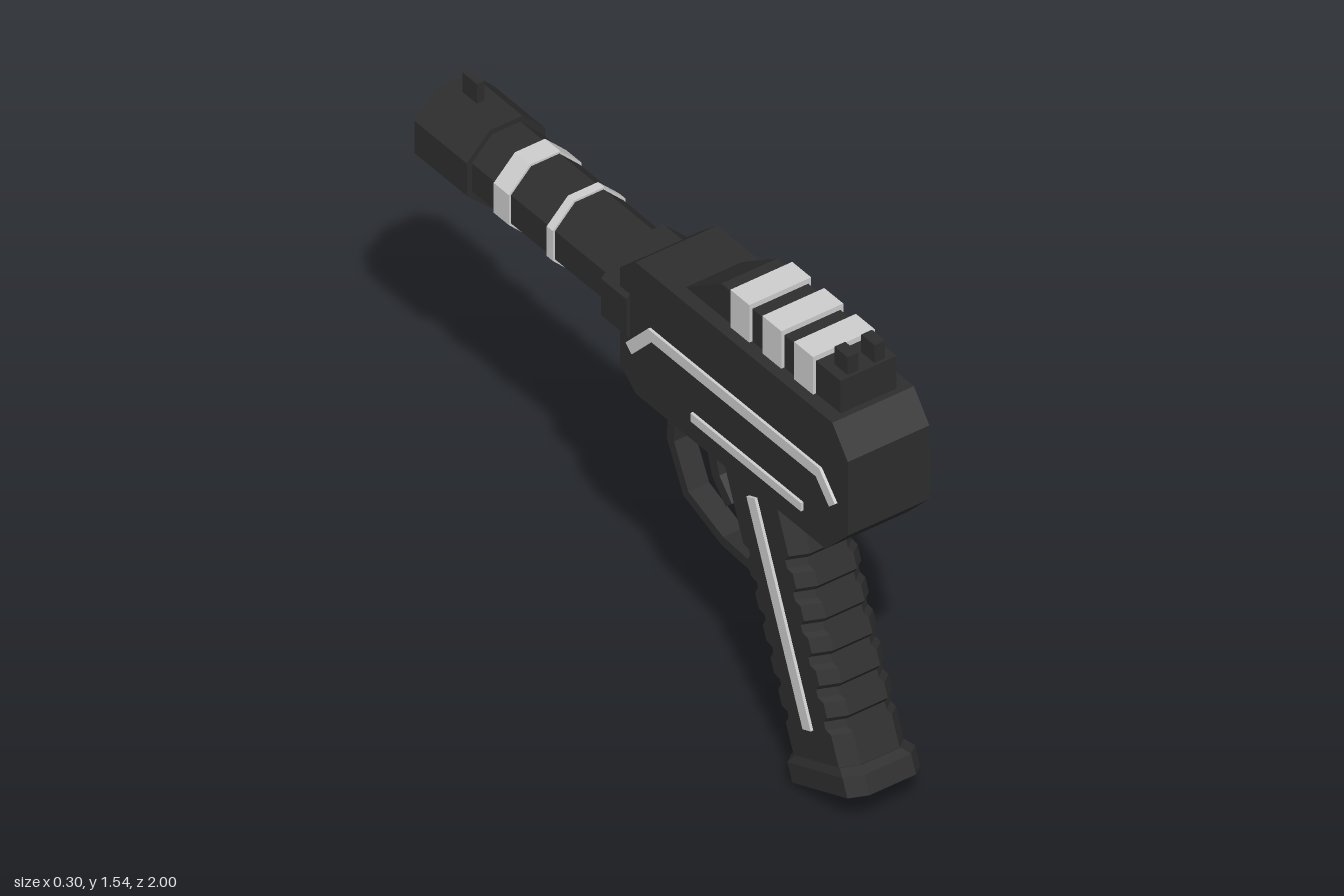
import * as THREE from 'three';

export function createModel() {
  const model = new THREE.Group();
  model.name = 'toyBlaster';
  const dark = new THREE.MeshStandardMaterial({ color: 0x2e2e2e });
  dark.name = 'charcoal';
  const light = new THREE.MeshStandardMaterial({ color: 0xcecece });
  light.name = 'lightGrey';

  // Adds a mesh with hard, faceted normals
  function add(name, geometry, material, parent = model) {
    const flat = geometry.index ? geometry.toNonIndexed() : geometry;
    flat.computeVertexNormals();
    const mesh = new THREE.Mesh(flat, material);
    mesh.name = name;
    parent.add(mesh);
    return mesh;
  }

  // Side profile of [z, y] points extruded across x, from x0 to x1
  function slab(points, x0, x1) {
    const shape = new THREE.Shape(points.map(([z, y]) => new THREE.Vector2(z, y)));
    const g = new THREE.ExtrudeGeometry(shape, { depth: x1 - x0, bevelEnabled: false });
    return g.rotateY(-Math.PI / 2).translate(x1, 0, 0);
  }

  // Outline of a mitred band of constant width along a [z, y] path
  function band(path, width) {
    const pts = path.map(([a, b]) => new THREE.Vector2(a, b));
    const left = [], right = [];
    pts.forEach((p, i) => {
      const a = pts[Math.max(i - 1, 0)], b = pts[Math.min(i + 1, pts.length - 1)];
      const normal = (s, e) => new THREE.Vector2(s.y - e.y, e.x - s.x).normalize();
      const n1 = i > 0 ? normal(a, p) : normal(p, b);
      const n2 = i < pts.length - 1 ? normal(p, b) : n1;
      const m = n1.clone().add(n2).normalize();
      m.multiplyScalar(width / 2 / m.dot(n1));
      left.push([p.x + m.x, p.y + m.y]);
      right.unshift([p.x - m.x, p.y - m.y]);
    });
    return [...left, ...right];
  }

  // Box between opposite corners
  function box(x0, x1, y0, y1, z0, z1) {
    return new THREE.BoxGeometry(x1 - x0, y1 - y0, z1 - z0)
      .translate((x0 + x1) / 2, (y0 + y1) / 2, (z0 + z1) / 2);
  }

  // Octagonal prism along z, measured to its flats
  function octagon(flat, z0, z1, y = 1.177) {
    const r = flat / Math.cos(Math.PI / 8);
    return new THREE.CylinderGeometry(r, r, z1 - z0, 8)
      .rotateY(Math.PI / 8).rotateX(Math.PI / 2).translate(0, y, (z0 + z1) / 2);
  }

  // Body and top rail
  add('body', slab([[0.98, 1.28], [0.91, 1.37], [0.02, 1.37], [-0.05, 1.31],
    [-0.05, 0.985], [0.02, 0.925], [0.88, 0.925], [0.98, 1.03]], -0.137, 0.137), dark);
  add('topRail', slab([[0.89, 1.36], [0.89, 1.48], [0.35, 1.48], [0.19, 1.37], [0.19, 1.36]],
    -0.094, 0.094), dark);
  for (const z of [0.735, 0.592, 0.447]) {
    add('railBand', box(-0.104, 0.104, 1.365, 1.497, z - 0.043, z + 0.043), light);
  }
  for (const x of [-0.045, 0.045]) {
    add('rearSight', box(x - 0.018, x + 0.018, 1.47, 1.54, 0.82, 0.88), dark);
  }

  // Barrel
  add('collar', octagon(0.149, -0.12, -0.005, 1.173), dark);
  add('barrel', octagon(0.115, -0.76, -0.1), dark);
  add('thinRing', octagon(0.122, -0.402, -0.374), light);
  add('wideRing', octagon(0.122, -0.642, -0.573), light);
  add('muzzle', octagon(0.132, -0.986, -0.75), dark);
  add('muzzleLens', octagon(0.085, -1, -0.98), light);
  add('frontSight', box(-0.012, 0.012, 1.3, 1.375, -0.93, -0.865), dark);

  // Trigger and its guard
  add('triggerGuard', slab(band([[0.055, 0.95], [0.04, 0.735], [0.11, 0.595], [0.275, 0.535],
    [0.5, 0.522]], 0.032), -0.035, 0.035), dark);
  add('trigger', slab(band([[0.235, 0.95], [0.21, 0.82], [0.235, 0.73], [0.295, 0.665]], 0.038),
    -0.028, 0.028), dark);

  // Side stripes, mirrored
  for (const s of [-1, 1]) {
    const plate = (name, points, x) =>
      add(name, slab(points, Math.min(s * x, s * (x + 0.009)), Math.max(s * x, s * (x + 0.009))), light);
    plate('upperStripe', band([[0.92, 1.1], [0.855, 1.172], [0.095, 1.172], [0, 1.07]], 0.036), 0.137);
    plate('lowerStripe', band([[0.78, 1.008], [0.28, 1.008]], 0.028), 0.137);
    plate('gripStripe', band([[0.768, 0.232], [0.514, 0.866]], 0.04), 0.109);
  }

  // Tilted grip: chamfered cross-sections [height, half width, half length] joined in a loop
  function loft(sections, c) {
    const pos = [];
    const rings = sections.map(([u, w, l]) => [[w, c - l], [w, l - c], [w - c, l], [c - w, l],
      [-w, l - c], [-w, c - l], [c - w, -l], [w - c, -l]].map(([x, v]) => [x, u, v]));
    const tri = (a, b, d) => pos.push(...a, ...b, ...d);
    for (let k = 0; k < rings.length - 1; k++) {
      const a = rings[k], b = rings[k + 1];
      for (let i = 0; i < 8; i++) {
        const j = (i + 1) % 8;
        tri(a[i], b[j], a[j]);
        tri(a[i], b[i], b[j]);
      }
    }
    const first = rings[0], last = rings[rings.length - 1];
    for (let i = 1; i < 7; i++) {
      tri(first[0], first[i], first[i + 1]);
      tri(last[0], last[i + 1], last[i]);
    }
    const g = new THREE.BufferGeometry();
    g.setAttribute('position', new THREE.Float32BufferAttribute(pos, 3));
    return g;
  }

  const grip = new THREE.Group();
  grip.name = 'grip';
  grip.position.set(0, 0.5475, 0.64);
  grip.rotation.x = -0.375;
  model.add(grip);

  // Finger grooves cut into front and back
  const full = 0.154, cut = 0.132;
  const sections = [[-0.46, 0.109, full]];
  for (let i = 0; i < 6; i++) {
    const u = -0.34 + i * 0.095;
    sections.push([u, 0.109, full], [u + 0.012, 0.109, cut],
      [u + 0.036, 0.109, cut], [u + 0.05, 0.109, full]);
  }
  sections.push([0.5, 0.109, full]);
  add('gripHandle', loft(sections, 0.044), dark, grip);
  add('gripBase', loft([[-0.515, 0.122, 0.178], [-0.455, 0.122, 0.178], [-0.435, 0.109, full]], 0.044),
    dark, grip).position.z = 0.005;

  return model;
}
